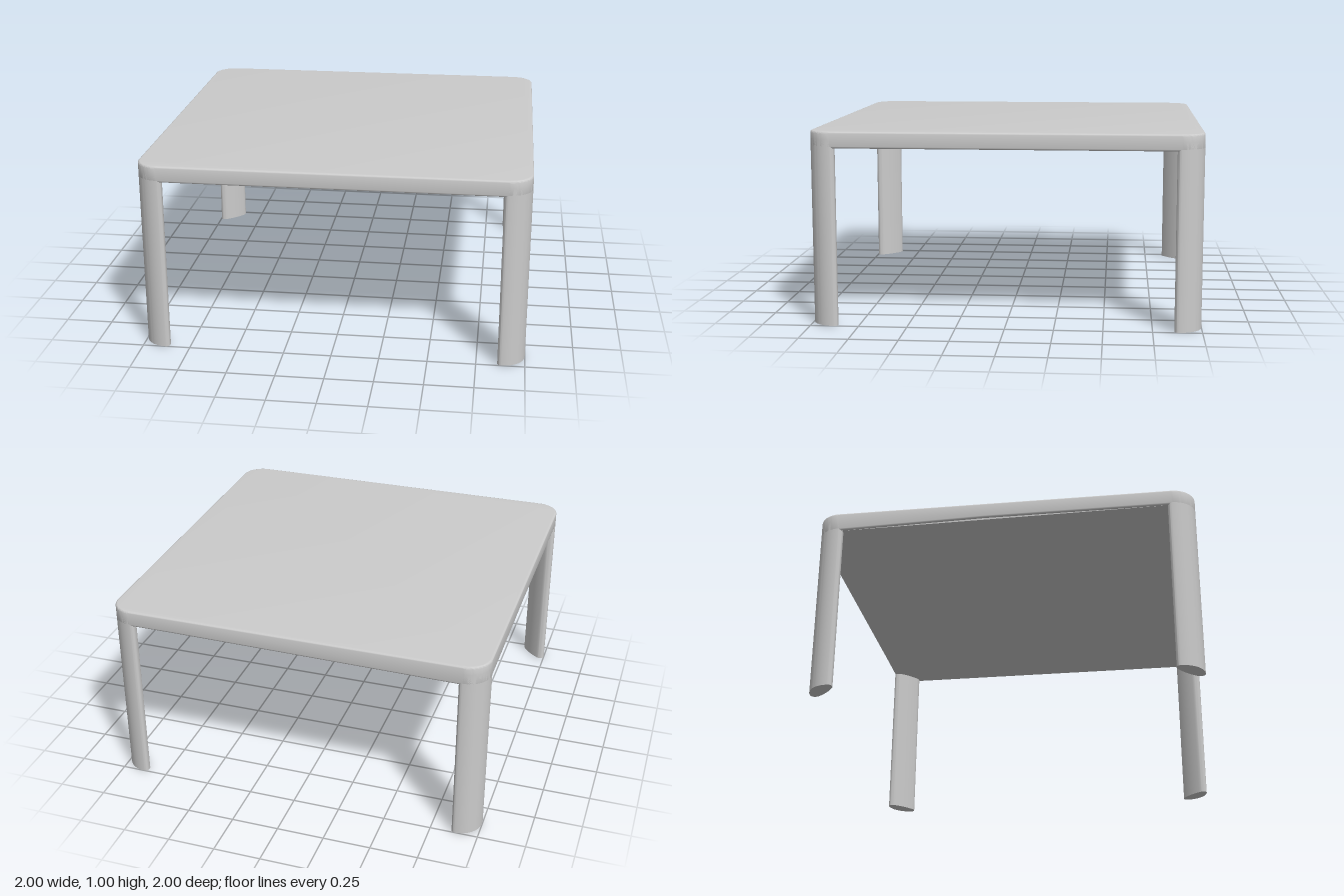
import * as THREE from 'three';
import { toCreasedNormals } from 'three/addons/utils/BufferGeometryUtils.js';

const R = 0.12; // plan corner radius of top and legs
const material = new THREE.MeshStandardMaterial({ color: 0xcccccc });

// Extrudes a plan shape (shape y = world z) downwards from y = top.
function extrudeDown(shape, top, height, bevel) {
  const geometry = new THREE.ExtrudeGeometry(shape, {
    depth: height - 2 * bevel,
    curveSegments: 10,
    bevelEnabled: bevel > 0,
    bevelThickness: bevel,
    bevelSize: bevel,
    bevelOffset: -bevel,
    bevelSegments: 3,
  });
  geometry.rotateX(Math.PI / 2);
  geometry.translate(0, top - bevel, 0);
  return geometry;
}

// Rounded square slab whose underside drops slightly at the back right corner.
function createTop() {
  const c = 1 - R;
  const shape = new THREE.Shape();
  shape.moveTo(-c, -1);
  shape.lineTo(0.64, -1);
  shape.lineTo(c, -1);
  shape.absarc(c, -c, R, -Math.PI / 2, 0);
  shape.absarc(c, c, R, 0, Math.PI / 2);
  shape.absarc(-c, c, R, Math.PI / 2, Math.PI);
  shape.lineTo(-1, -0.1);
  shape.absarc(-c, -c, R, Math.PI, Math.PI * 1.5);

  const geometry = extrudeDown(shape, 1, 0.085, 0.01);
  const p = geometry.attributes.position;
  for (let i = 0; i < p.count; i++) {
    if (p.getY(i) > 0.95) continue;
    const across = (0.64 - p.getX(i)) / 1.64;
    const along = (-0.1 - p.getZ(i)) / 0.9;
    const drop = 0.02 * THREE.MathUtils.clamp(Math.min(across, along), 0, 1);
    p.setY(i, p.getY(i) - drop);
  }
  const mesh = new THREE.Mesh(toCreasedNormals(geometry, 0.7), material);
  mesh.name = 'tableTop';
  return mesh;
}

// Lens-like leg: rounded outer corner, diagonal inner face, softened tips.
function createLegGeometry() {
  const c = 1 - R;
  const shape = new THREE.Shape();
  shape.moveTo(1, c);
  shape.absarc(c, c, R, 0, Math.PI / 2);
  shape.quadraticCurveTo(0.855, 1, 0.86, 0.965);
  shape.quadraticCurveTo(0.9, 0.9, 0.965, 0.86);
  shape.quadraticCurveTo(1, 0.855, 1, c);
  return toCreasedNormals(extrudeDown(shape, 0.96, 0.96, 0), 0.7);
}

export function createModel() {
  const table = new THREE.Group();
  table.name = 'table';
  table.add(createTop());

  const legGeometry = createLegGeometry();
  ['frontLeftLeg', 'backLeftLeg', 'backRightLeg', 'frontRightLeg'].forEach((name, i) => {
    const leg = new THREE.Mesh(legGeometry, material);
    leg.name = name;
    leg.rotation.y = (i * Math.PI) / 2;
    table.add(leg);
  });
  return table;
}
